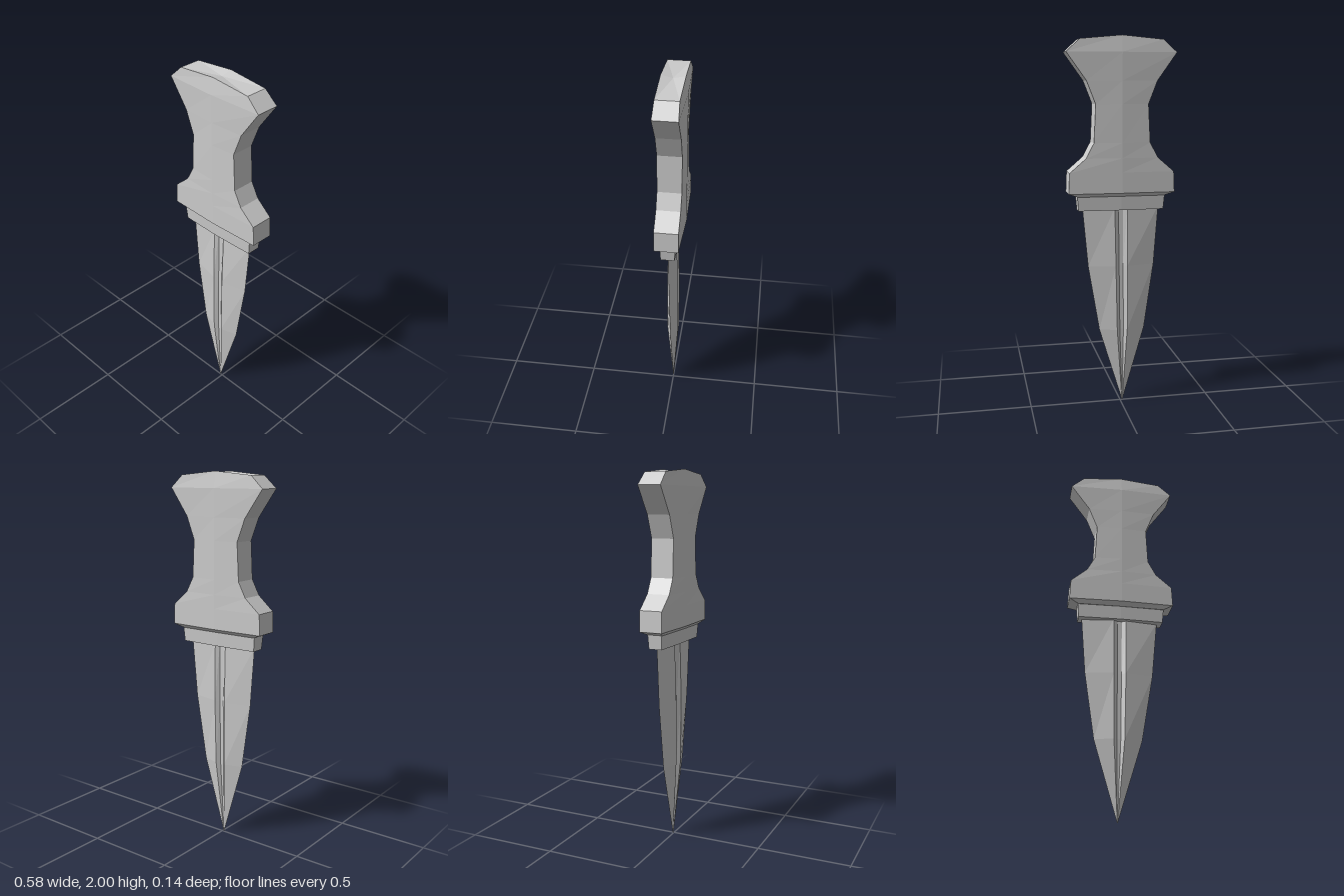
import * as THREE from 'three';

const material = new THREE.MeshStandardMaterial({ color: 0xcccccc, flatShading: true });

// Skins a stack of equal-length rings (ordered from bottom to top) and closes both ends.
function loft(name, rings) {
  const n = rings[0].length;
  const pos = [];
  const tri = (...pts) => pts.forEach((p) => pos.push(...p));
  for (let i = 0; i < rings.length - 1; i++) {
    for (let j = 0; j < n; j++) {
      const k = (j + 1) % n;
      const a = rings[i][j], b = rings[i][k], c = rings[i + 1][j], d = rings[i + 1][k];
      tri(a, c, b);
      tri(b, c, d);
    }
  }
  const centre = (r) => [0, 1, 2].map((c) => r.reduce((s, p) => s + p[c], 0) / n);
  const low = rings[0], high = rings[rings.length - 1];
  for (let j = 0; j < n; j++) {
    const k = (j + 1) % n;
    tri(centre(low), low[j], low[k]);
    tri(centre(high), high[k], high[j]);
  }
  const geometry = new THREE.BufferGeometry();
  geometry.setAttribute('position', new THREE.Float32BufferAttribute(pos, 3));
  geometry.computeVertexNormals();
  const mesh = new THREE.Mesh(geometry, material);
  mesh.name = name;
  return mesh;
}

// Six-sided slab section, slightly thicker along the middle.
const slab = ([y, w, edge, mid, midY = y]) => [
  [w, y, edge], [0, midY, mid], [-w, y, edge],
  [-w, y, -edge], [0, midY, -mid], [w, y, -edge],
];

// Double-edged blade section with a groove down each face.
const bladeSection = ([y, left, right, ridge, groove, ridgeZ, grooveZ, cx]) => {
  const half = [[ridge, ridgeZ], [groove, grooveZ], [-groove, grooveZ], [-ridge, ridgeZ]];
  return [
    [right, y, 0],
    ...half.map(([x, z]) => [cx + x, y, z]),
    [left, y, 0],
    ...half.map(([x, z]) => [cx - x, y, -z]),
  ];
};

export function createModel() {
  const model = new THREE.Group();
  model.name = 'dagger';

  // Waisted grip with flared pommel and guard: y, half width, edge z, middle z, middle y
  model.add(loft('handle', [
    [1.165, 0.235, 0.043, 0.046],
    [1.185, 0.285, 0.062, 0.071],
    [1.295, 0.28, 0.062, 0.071],
    [1.37, 0.193, 0.062, 0.071],
    [1.45, 0.15, 0.062, 0.071],
    [1.65, 0.14, 0.062, 0.071],
    [1.77, 0.187, 0.062, 0.071],
    [1.915, 0.291, 0.062, 0.072],
    [1.98, 0.22, 0.058, 0.06, 2.0],
  ].map(slab)));

  // Stepped collar between guard and blade
  model.add(loft('collar', [
    [1.09, 0.23, 0.036, 0.042],
    [1.17, 0.237, 0.04, 0.046],
  ].map(slab)));

  // Blade: y, left edge, right edge, ridge x, groove x, ridge z, groove z, centre x
  model.add(loft('blade', [
    [0, -0.013, -0.011, 0.0006, 0.0003, 0.001, 0.0005, -0.012],
    [0.42, -0.135, 0.116, 0.028, 0.01, 0.03, 0.012, -0.007],
    [0.78, -0.187, 0.176, 0.032, 0.011, 0.03, 0.012, -0.004],
    [1.1, -0.211, 0.205, 0.034, 0.012, 0.021, 0.008, -0.002],
  ].map(bladeSection)));

  return model;
}
